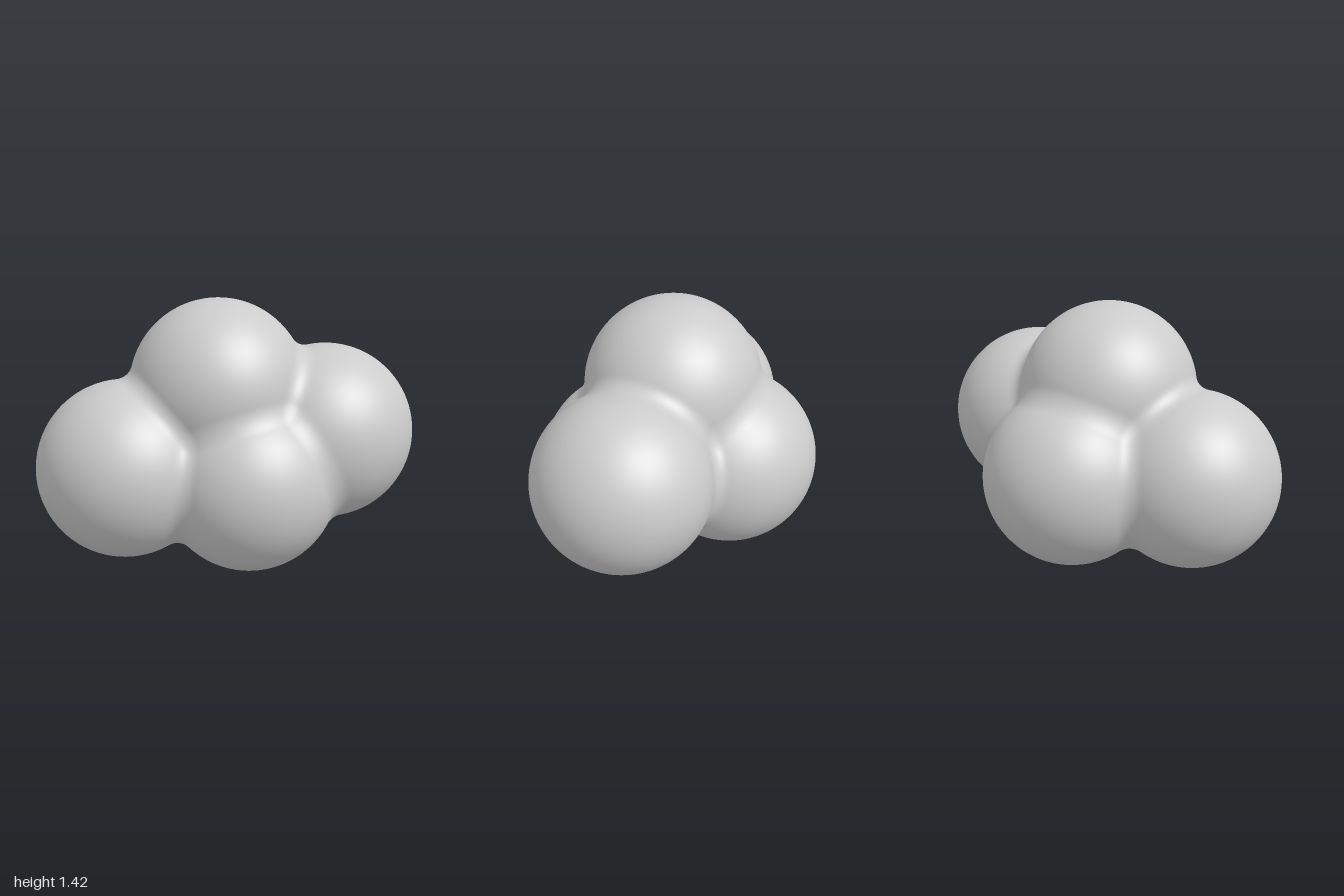
import * as THREE from 'three';
import { mergeVertices } from 'three/addons/utils/BufferGeometryUtils.js';

const RADIUS = 0.475; // every lobe has the same size
const FILLET = 0.07; // rounding of the creases between lobes
const LOBES = [
  [0.522, 0.695, 0.268], // left
  [-0.525, 0.548, -0.065], // right
  [-0.015, 0.955, 0.032], // top
  [0.04, 0.48, 0.275], // lower front
  [0.072, 0.548, -0.275], // back
].map((c) => new THREE.Vector3(...c));
const CORE = new THREE.Vector3(0, 0.62, 0.06);

// Distance to the union of the lobes, with rounded creases (negative inside)
function field(p) {
  let nearest = Infinity;
  let sum = 0;
  for (const c of LOBES) {
    const d = p.distanceTo(c) - RADIUS;
    nearest = Math.min(nearest, d);
    sum += Math.max(FILLET - d, 0) ** 2;
  }
  return Math.max(FILLET, nearest) - Math.sqrt(sum);
}

// Fine ball whose vertices slide along rays from the core onto the blended surface
function blendedLobes() {
  const ball = new THREE.IcosahedronGeometry(1, 52);
  ball.deleteAttribute('uv');
  ball.deleteAttribute('normal');
  const geometry = mergeVertices(ball, 1e-5);
  const position = geometry.attributes.position;
  const dir = new THREE.Vector3();
  const p = new THREE.Vector3();
  for (let i = 0; i < position.count; i++) {
    dir.fromBufferAttribute(position, i).normalize();
    let inside = 0;
    let outside = 1.5;
    for (let step = 0; step < 24; step++) {
      const mid = (inside + outside) / 2;
      p.copy(CORE).addScaledVector(dir, mid);
      if (field(p) < 0) inside = mid;
      else outside = mid;
    }
    position.setXYZ(i, p.x, p.y, p.z);
  }
  geometry.computeVertexNormals();
  return geometry;
}

export function createModel() {
  const group = new THREE.Group();
  group.name = 'lobedCluster';
  const material = new THREE.MeshStandardMaterial({ color: 0xcccccc });
  const body = new THREE.Mesh(blendedLobes(), material);
  body.name = 'blendedLobes';
  group.add(body);
  return group;
}
